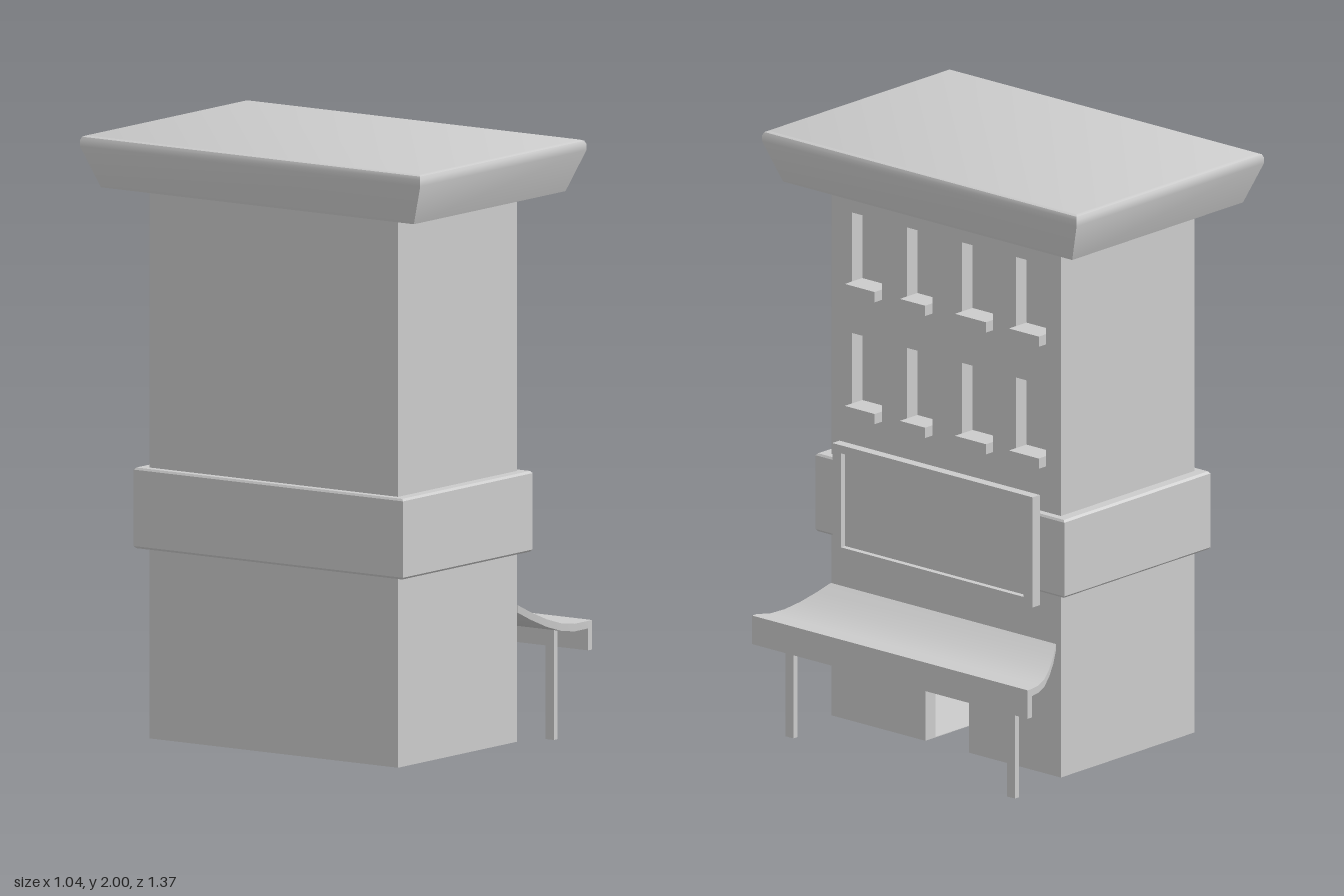
import * as THREE from 'three';
import { toCreasedNormals } from 'three/addons/utils/BufferGeometryUtils.js';

const mat = new THREE.MeshStandardMaterial({ color: 0xcccccc, side: THREE.DoubleSide });

function add(parent, name, geometry) {
  const mesh = new THREE.Mesh(geometry, mat);
  mesh.name = name;
  parent.add(mesh);
  return mesh;
}

// Box given by its limits on each axis
function box(parent, name, x0, x1, y0, y1, z0, z1) {
  const mesh = add(parent, name, new THREE.BoxGeometry(x1 - x0, y1 - y0, z1 - z0));
  mesh.position.set((x0 + x1) / 2, (y0 + y1) / 2, (z0 + z1) / 2);
  return mesh;
}

// Skin a run of four-cornered rings, optionally closing both ends
function loft(rings, capped) {
  const pos = rings.flat(2);
  const index = [];
  for (let i = 0; i < rings.length - 1; i++) {
    for (let j = 0; j < 4; j++) {
      const a = i * 4 + j, b = i * 4 + (j + 1) % 4;
      index.push(a, b, b + 4, a, b + 4, a + 4);
    }
  }
  if (capped) {
    const e = (rings.length - 1) * 4;
    index.push(0, 2, 1, 0, 3, 2, e, e + 1, e + 2, e, e + 2, e + 3);
  }
  const g = new THREE.BufferGeometry();
  g.setAttribute('position', new THREE.Float32BufferAttribute(pos, 3));
  g.setIndex(index);
  return toCreasedNormals(g, 0.5);
}

// Horizontal rectangular ring
const level = (y, x0, x1, z) => [[x0, y, z], [x1, y, z], [x1, y, -z], [x0, y, -z]];

// Flat panel facing +x, outline drawn in (-z, y)
function panel(outline, holes, depth, x) {
  const shape = new THREE.Shape(outline.map(p => new THREE.Vector2(...p)));
  for (const h of holes) shape.holes.push(new THREE.Path(h.map(p => new THREE.Vector2(...p))));
  const g = new THREE.ExtrudeGeometry(shape, { depth, bevelEnabled: false });
  g.rotateY(Math.PI / 2);
  g.translate(x, 0, 0);
  return g;
}

const rect = (a, b, y0, y1) => [[a, y0], [b, y0], [b, y1], [a, y1]];

export function createModel() {
  const model = new THREE.Group();
  model.name = 'shopBuilding';

  // Window openings as [-z from, -z to] and [sill bottom, opening bottom, top]
  const columns = [[-0.41, -0.28], [-0.17, -0.06], [0.07, 0.205], [0.305, 0.435]];
  const rows = [[1.48, 1.515, 1.75], [1.065, 1.1, 1.34]];
  const holes = [];
  const windows = new THREE.Group();
  windows.name = 'windows';
  model.add(windows);
  for (const [sill, low, high] of rows) {
    for (const [a, b] of columns) {
      holes.push(rect(a, b, sill, high));
      box(windows, 'windowPane', 0.2, 0.21, sill, high, -b, -a);
      box(windows, 'windowSill', 0.21, 0.295, sill, low, -b, -a);
    }
  }

  // Hollow body: street wall with doorway, plain back and side walls
  const wall = [[-0.5, 0.02], [-0.09, 0.02], [-0.09, 0.285], [0.1, 0.285], [0.1, 0.02],
    [0.5, 0.02], [0.5, 1.84], [-0.5, 1.84]];
  add(model, 'streetWall', panel(wall, holes, 0.05, 0.21));
  box(model, 'backWall', -0.39, -0.385, 0.02, 1.84, -0.5, 0.5);
  for (const s of [-1, 1]) {
    const w = box(model, 'sideWall', -0.39, 0.26, 0.02, 1.84, 0.495, 0.5);
    w.position.z *= s;
  }

  // Floor in two halves, open along the doorway
  box(model, 'floorLeft', -0.39, 0.26, 0.02, 0.022, 0.09, 0.5);
  box(model, 'floorRight', -0.39, 0.26, 0.02, 0.022, -0.5, -0.1);

  // Flared roof with a softened top edge
  add(model, 'roofCornice', loft([
    level(1.83, -0.48, 0.35, 0.63),
    level(1.965, -0.52, 0.39, 0.685),
    level(1.985, -0.52, 0.39, 0.685),
    level(1.996, -0.515, 0.385, 0.68),
    level(2, -0.505, 0.375, 0.67),
  ], true));

  // Belt around the walls
  add(model, 'belt', loft([
    level(0.645, -0.39, 0.26, 0.5),
    level(0.645, -0.415, 0.285, 0.535),
    level(0.652, -0.42, 0.29, 0.542),
    level(0.903, -0.42, 0.29, 0.542),
    level(0.91, -0.415, 0.285, 0.535),
    level(0.91, -0.39, 0.26, 0.5),
  ], false));

  // Framed blank sign board
  add(model, 'signFrame', panel(rect(-0.437, 0.435, 0.6, 0.975),
    [rect(-0.4, 0.395, 0.628, 0.948)], 0.035, 0.29));
  box(model, 'signBoard', 0.29, 0.305, 0.628, 0.948, -0.395, 0.4);

  // Curved, widening awning: [x, top height, half width]
  const zc = 0.012;
  const stations = [[0.26, 0.47, 0.49], [0.3, 0.443, 0.515], [0.35, 0.416, 0.542],
    [0.4, 0.398, 0.565], [0.45, 0.392, 0.582], [0.5, 0.397, 0.6], [0.52, 0.397, 0.6]];
  const awning = new THREE.Group();
  awning.name = 'awning';
  model.add(awning);
  add(awning, 'awningCanopy', loft(stations.map(([x, y, h]) => [
    [x, y - 0.025, zc + h], [x, y - 0.025, zc - h], [x, y, zc - h], [x, y, zc + h],
  ]), true));
  box(awning, 'awningValance', 0.498, 0.52, 0.3, 0.395, zc - 0.6, zc + 0.6);

  // Awning posts
  for (const z of [0.468, -0.497]) box(awning, 'awningPost', 0.46, 0.48, 0, 0.375, z, z + 0.034);

  return model;
}
